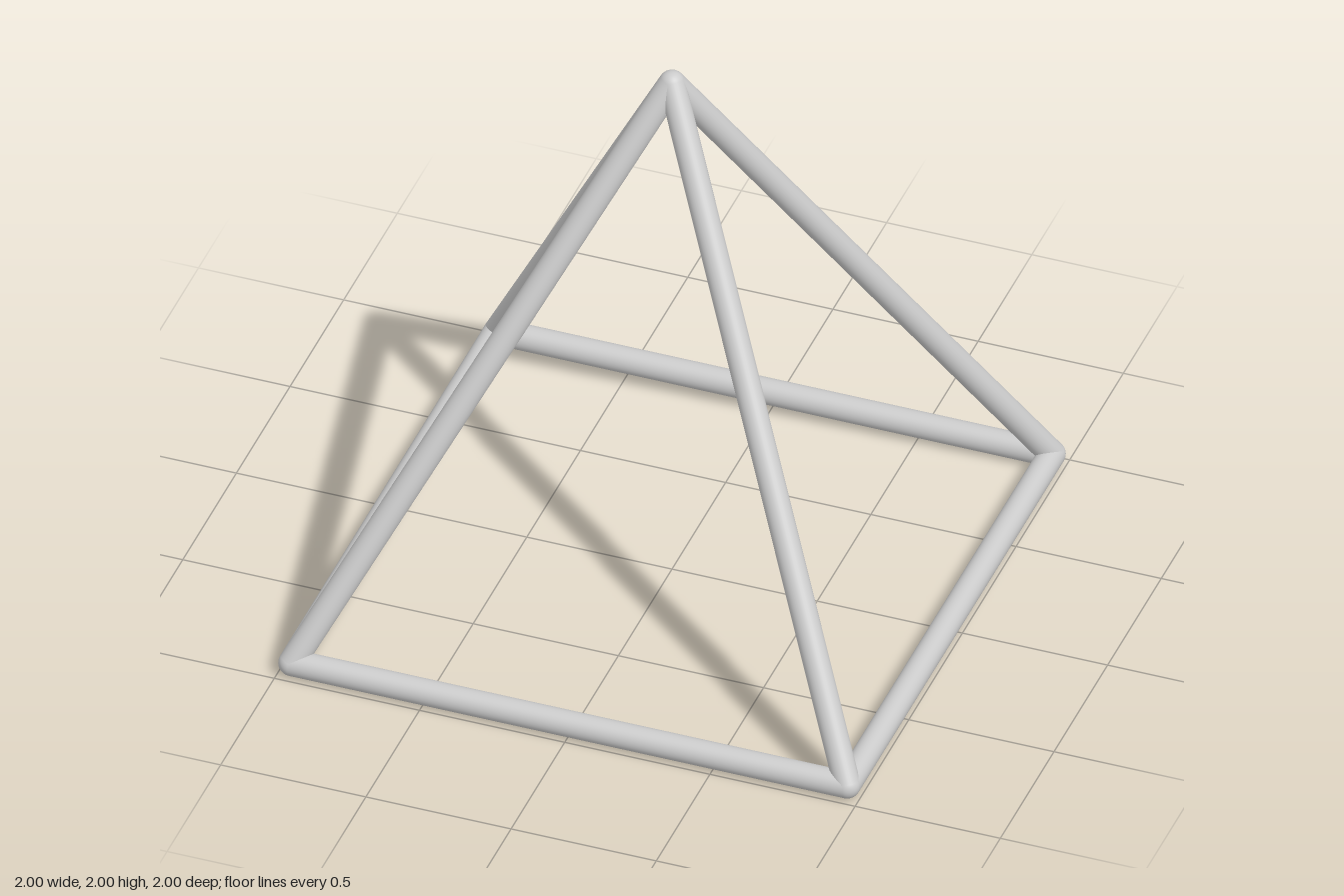
import * as THREE from 'three';

const R = 0.044;       // rod radius
const H = 1 - R;       // half side of the base, to rod centres
const UP = new THREE.Vector3(0, 1, 0);

export function createModel() {
  const model = new THREE.Group();
  model.name = 'pyramidFrame';
  const material = new THREE.MeshStandardMaterial({ color: 0xcccccc });

  // Straight round rod between two points
  function rod(name, a, b) {
    const along = b.clone().sub(a);
    const mesh = new THREE.Mesh(new THREE.CylinderGeometry(R, R, along.length(), 32, 1, true), material);
    mesh.name = name;
    mesh.position.copy(a).add(b).multiplyScalar(0.5);
    mesh.quaternion.setFromUnitVectors(UP, along.normalize());
    model.add(mesh);
  }

  // Ball that rounds off the meeting rods
  function joint(name, p) {
    const mesh = new THREE.Mesh(new THREE.SphereGeometry(R, 32, 20), material);
    mesh.name = name;
    mesh.position.copy(p);
    model.add(mesh);
  }

  const apex = new THREE.Vector3(0, 2 - R, 0);
  const corners = [[1, 1], [1, -1], [-1, -1], [-1, 1]].map(([x, z]) => new THREE.Vector3(x * H, R, z * H));
  const cornerNames = ['FrontLeft', 'BackLeft', 'BackRight', 'FrontRight'];
  const sideNames = ['Left', 'Back', 'Right', 'Front'];

  // Square base and four sloping edges
  corners.forEach((corner, i) => {
    rod('baseRod' + sideNames[i], corner, corners[(i + 1) % 4]);
    rod('slopingRod' + cornerNames[i], corner, apex);
    joint('cornerJoint' + cornerNames[i], corner);
  });
  joint('apexJoint', apex);

  return model;
}
